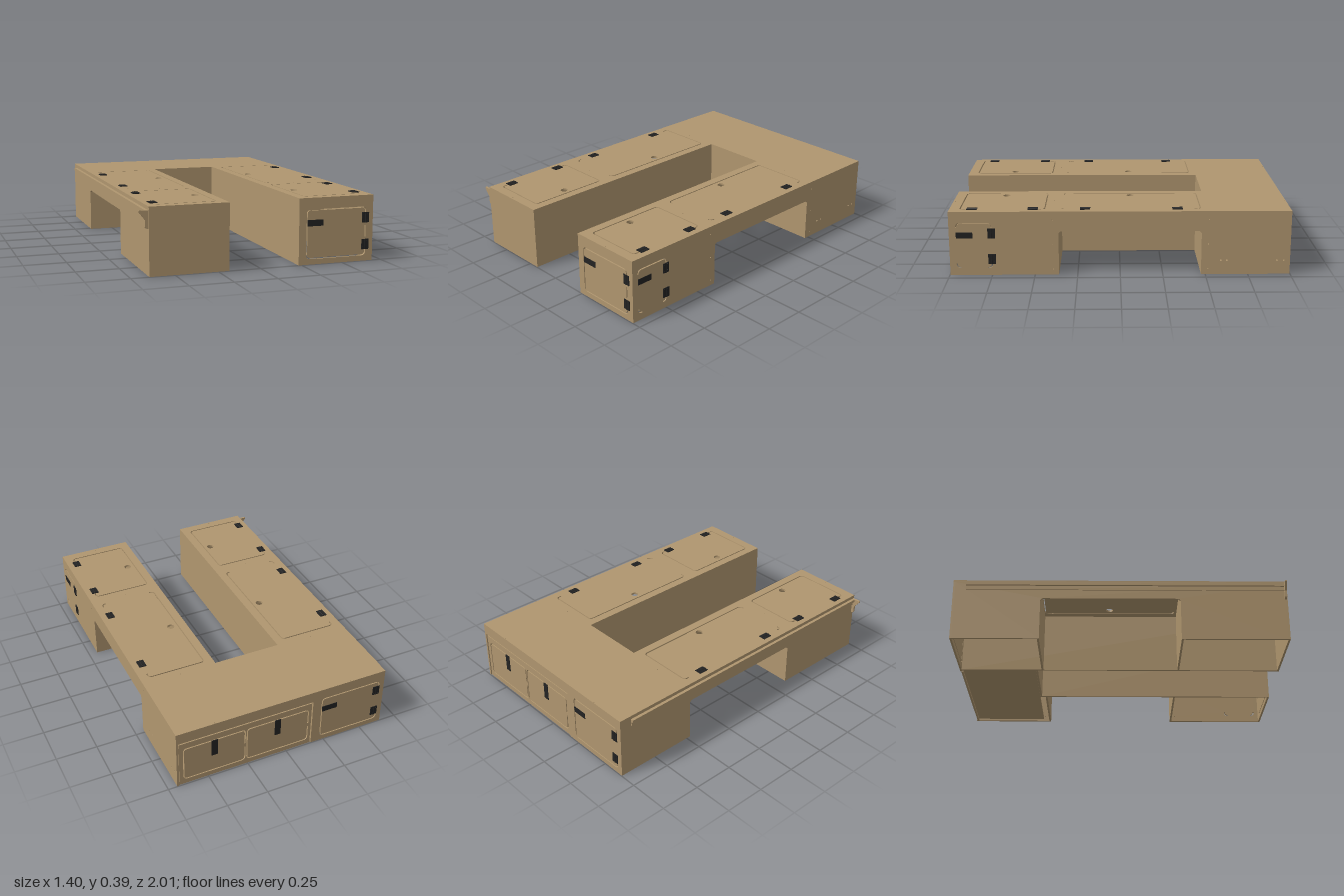
import * as THREE from 'three';

const T = 0.012, H = 0.385, ZE = 0.997;            // panel thickness, height, half length
const XL = 0.695, XR = -0.645;                      // outer sides
const SL = 0.232, SR = -0.185, SZ = -0.51;          // walkway slot between the legs
const W0 = -0.475, W1 = 0.36, WH = 0.265;           // wheel arch cut

const tan = new THREE.MeshStandardMaterial({ color: 0xb0966f });
tan.name = 'tan panel';
const black = new THREE.MeshStandardMaterial({ color: 0x222222 });
black.name = 'black hardware';

// rounded polyline through corner points
function rounded(pts, r = 0.022) {
  const v = pts.map(p => new THREE.Vector2(...p)), out = [v[0]];
  for (let i = 1; i < v.length - 1; i++) {
    const a = v[i].clone().add(v[i - 1].clone().sub(v[i]).setLength(r));
    const b = v[i].clone().add(v[i + 1].clone().sub(v[i]).setLength(r));
    out.push(...new THREE.QuadraticBezierCurve(a, v[i], b).getPoints(5));
  }
  out.push(v[v.length - 1]);
  return out;
}

// thin slot that follows a polyline
function slot(pts, w = 0.007) {
  const p = rounded(pts), left = [], right = [];
  p.forEach((q, i) => {
    const d = p[Math.min(i + 1, p.length - 1)].clone().sub(p[Math.max(i - 1, 0)]).setLength(w / 2);
    left.push(new THREE.Vector2(q.x - d.y, q.y + d.x));
    right.push(new THREE.Vector2(q.x + d.y, q.y - d.x));
  });
  return new THREE.Path([...left, ...right.reverse()]);
}

// door outline, left uncut along the hinge side at u = h
function door(o, v0, h, v1, k = 0.035) {
  return slot([[h, v0 + k], [h, v0], [o, v0], [o, v1], [h, v1], [h, v1 - k]]);
}

function hole(u, v, r) {
  return new THREE.Path().absarc(u, v, r, 0, Math.PI * 2);
}

const rect = (u0, v0, u1, v1) => [[u0, v0], [u1, v0], [u1, v1], [u0, v1]];

function plate(pts, holes = [], depth = T) {
  const s = new THREE.Shape(pts.map(p => new THREE.Vector2(...p)));
  s.holes.push(...holes);
  return new THREE.ExtrudeGeometry(s, { depth, bevelEnabled: false, curveSegments: 10 });
}

export function createModel() {
  const root = new THREE.Group();
  root.name = 'cabinet';
  const add = (name, geo, mat = tan, parent = root) => {
    const m = new THREE.Mesh(geo, mat);
    m.name = name;
    parent.add(m);
    return m;
  };
  // plates across x (facing z), and plates along z (facing x)
  const cross = (name, z, pts, holes) => add(name, plate(pts, holes).translate(0, 0, z));
  const along = (name, x, pts, holes) => add(name, plate(pts, holes).rotateY(-Math.PI / 2).translate(x, 0, 0));
  const top = H - T;

  // U-shaped top with lid cuts, finger holes and screw holes
  const cuts = [];
  for (const [o, h, f] of [[0.287, 0.64, 0.332], [-0.24, -0.592, -0.285]]) {
    const s = Math.sign(h - o);
    cuts.push(door(o, 0.44, h, 0.935));
    cuts.push(slot([[h, -0.435], [h, -0.47], [o, -0.47], [o, 0.34], [o + s * 0.03, 0.34]]));
    cuts.push(slot([[h - s * 0.024, 0.34], [h, 0.34], [h, 0.31]]));
    cuts.push(hole(f, -0.065, 0.022), hole(f, 0.69, 0.022));
  }
  for (const x of [-0.41, 0.46]) for (const z of [-0.99, -0.52, 0.39, 0.985]) cuts.push(hole(x, z, 0.003));
  const u = [[XR, -ZE], [XL, -ZE], [XL, ZE], [SL, ZE], [SL, SZ], [SR, SZ], [SR, ZE], [XR, ZE]];
  add('top', plate(u, cuts).rotateX(Math.PI / 2).translate(0, H, 0));

  // outer sides with wheel arches
  const side = [[-ZE + T, 0], [W0, 0], [W0, WH - 0.012], [W0 + 0.012, WH], [W1 - 0.012, WH],
    [W1, WH - 0.012], [W1, 0], [ZE - T, 0], [ZE - T, top], [-ZE + T, top]];
  const sideCuts = [
    slot([[0.955, 0.29], [0.955, 0.315], [0.75, 0.315], [0.75, 0.29]]),
    slot([[0.955, 0.07], [0.955, 0.045], [0.93, 0.045]]),
    slot([[0.775, 0.045], [0.75, 0.045], [0.75, 0.07]]),
  ];
  for (const z of [-0.59, -0.625, -0.92, -0.96]) sideCuts.push(hole(z, 0.085, 0.005));
  for (const z of [-0.515, 0.395]) for (const y of [0.035, 0.185, 0.335]) sideCuts.push(hole(z, y, 0.003));
  along('leftSide', XL, side, sideCuts);
  along('rightSide', XR + T, side);

  // walkway walls
  along('leftInnerWall', SL + T, rect(SZ, 0, ZE - T, top));
  along('rightInnerWall', SR, rect(-ZE + T, 0, ZE - T, top));
  cross('walkwayEndWall', SZ - T, rect(SR, 0, SL + T, top));

  // leg fronts and the bulkheads on both sides of the wheel arches
  cross('leftFront', ZE - T, rect(SL, 0, XL, top),
    [door(0.28, 0.035, 0.647, 0.315), slot([[0.647, 0.14], [0.647, 0.175], [0.647, 0.21]])]);
  cross('rightFront', ZE - T, rect(XR, 0, SR, top));
  for (const [a, b] of [[SL + T, XL - T], [XR + T, SR - T]]) {
    cross('archFrontBulkhead', W1, rect(a, 0, b, top));
    cross('archRearBulkhead', W0 - T, rect(a, 0, b, top));
  }

  // back with drawer bay, drawer front and bay floor
  const D0 = -0.166, D1 = 0.682, DH = 0.315;
  cross('back', -ZE, [[XR, 0], [D0, 0], [D0, DH], [D1, DH], [D1, 0], [XL, 0], [XL, top], [XR, top]],
    [door(-0.226, 0.035, -0.61, 0.315)]);
  cross('drawerFront', -ZE + 0.005, rect(D0 + 0.005, 0, D1 - 0.004, DH - 0.012), [
    door(0.65, 0.26, 0.268, 0.035, -0.1), door(0.255, 0.26, -0.14, 0.035, -0.1)]);
  add('bayFloor', new THREE.BoxGeometry(XL - SR - T, T, SZ + ZE - 0.03)
    .translate((XL + SR - T) / 2, 0.02, (SZ - ZE) / 2));

  // hinge: leaf with a barrel and screw heads, lying in the xy plane and facing +z
  function hinge(x, y, z, rx, ry) {
    const g = new THREE.Group();
    g.name = 'hinge';
    add('hingeLeaf', new THREE.BoxGeometry(0.044, 0.06, 0.004).translate(0, 0, 0.002), black, g);
    add('hingeBarrel', new THREE.CylinderGeometry(0.004, 0.004, 0.06, 8).translate(0, 0, 0.003), black, g);
    for (const i of [-1, 1]) for (const j of [-1, 1])
      add('hingeScrew', new THREE.CylinderGeometry(0.004, 0.004, 0.002, 8).rotateX(Math.PI / 2)
        .translate(i * 0.013, j * 0.019, 0.0045), black, g);
    g.position.set(x, y, z);
    g.rotation.set(rx, ry, 0);
    root.add(g);
  }
  for (const x of [-0.59, 0.635]) for (const z of [-0.335, 0.205, 0.51, 0.865]) hinge(x, H, z, -Math.PI / 2, 0);
  for (const y of [0.255, 0.098]) {
    hinge(0.647, y, ZE, 0, 0);
    hinge(XL, y, 0.75, 0, Math.PI / 2);
    hinge(-0.592, y, -ZE, 0, Math.PI);
  }

  // latches: outer plate plus a body that reaches through the panel
  function latch(x, y, z, w, h, ry) {
    const g = new THREE.Group();
    g.name = 'latch';
    add('latchPlate', new THREE.BoxGeometry(w, h, 0.004).translate(0, 0, 0.001), black, g);
    add('latchBody', new THREE.BoxGeometry(w * 0.55, h * 0.6, T + 0.008).translate(0, 0, -T / 2 - 0.002), black, g);
    g.position.set(x, y, z);
    g.rotation.y = ry;
    root.add(g);
  }
  latch(0.332, 0.24, ZE, 0.098, 0.036, 0);
  latch(XL, 0.242, 0.908, 0.096, 0.036, Math.PI / 2);
  latch(-0.277, 0.24, -ZE, 0.098, 0.036, Math.PI);
  for (const x of [0.46, 0.06]) latch(x, 0.205, -ZE + 0.005, 0.038, 0.11, Math.PI);

  // awning rail and its end bracket on the right side
  add('awningRail', new THREE.BoxGeometry(0.018, 0.018, 1.9).translate(XR - 0.009, 0.355, 0.03));
  add('railLip', new THREE.BoxGeometry(0.006, 0.03, 1.9).translate(XR - 0.003, 0.335, 0.03));
  cross('railBracket', 0.98, [[XR, 0.365], [-0.7, 0.365], [-0.7, 0.357], [-0.664, 0.312],
    [-0.664, 0.272], [-0.658, 0.265], [XR, 0.262]]);

  return root;
}
